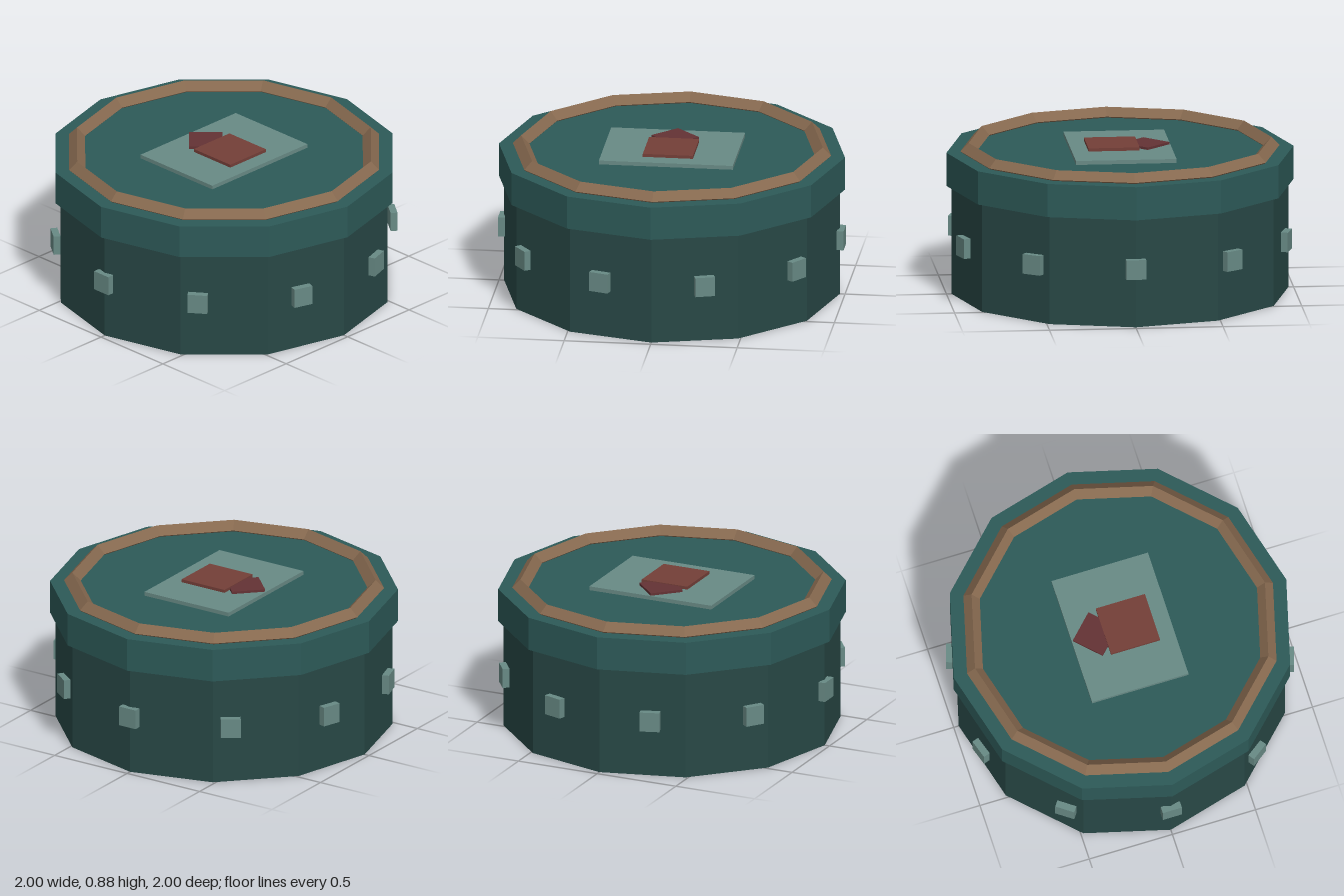
import * as THREE from 'three';

const SIDES = 12;
const STUDS = 10;

function material(color) {
  return new THREE.MeshStandardMaterial({ color, flatShading: true });
}

function addPart(parent, name, geometry, mat, x = 0, y = 0, z = 0) {
  const mesh = new THREE.Mesh(geometry, mat);
  mesh.name = name;
  mesh.position.set(x, y, z);
  parent.add(mesh);
  return mesh;
}

export function createModel() {
  const group = new THREE.Group();
  group.name = 'roundBox';

  const bodyMat = material(0x284846);
  const lidMat = material(0x2d5a58);
  const trimMat = material(0x86694f);
  const metalMat = material(0x688a85);
  const redMat = material(0x743f38);
  const darkRedMat = material(0x643234);

  // Twelve-sided box with a slightly wider lid
  addPart(group, 'body', new THREE.CylinderGeometry(0.97, 0.97, 0.64, SIDES), bodyMat, 0, 0.32);
  addPart(group, 'lid', new THREE.CylinderGeometry(1, 1, 0.195, SIDES), lidMat, 0, 0.7325);

  // Faceted trim ring half sunk into the lid
  const ring = new THREE.TorusGeometry(0.872, 0.048, 4, SIDES).rotateX(Math.PI / 2);
  addPart(group, 'trimRing', ring, trimMat, 0, 0.837);

  // Studs around the body
  const studs = new THREE.Group();
  studs.name = 'studs';
  group.add(studs);
  const studGeometry = new THREE.BoxGeometry(0.115, 0.115, 0.04);
  for (let i = 0; i < STUDS; i++) {
    const a = Math.PI / 2 + (i / STUDS) * Math.PI * 2;
    const stud = addPart(studs, 'stud', studGeometry, metalMat,
      Math.sin(a) * 0.979, 0.343, Math.cos(a) * 0.979);
    stud.rotation.y = a;
  }

  // Label plate with a square and a diamond tucked under its back edge
  addPart(group, 'plate', new THREE.BoxGeometry(0.774, 0.03, 0.58), metalMat, 0, 0.838);
  addPart(group, 'emblemSquare', new THREE.BoxGeometry(0.29, 0.02, 0.295), redMat, 0, 0.861, 0.0475);
  addPart(group, 'emblemDiamond', new THREE.CylinderGeometry(0.137, 0.137, 0.016, 4), darkRedMat, 0, 0.859, -0.147);

  return group;
}
